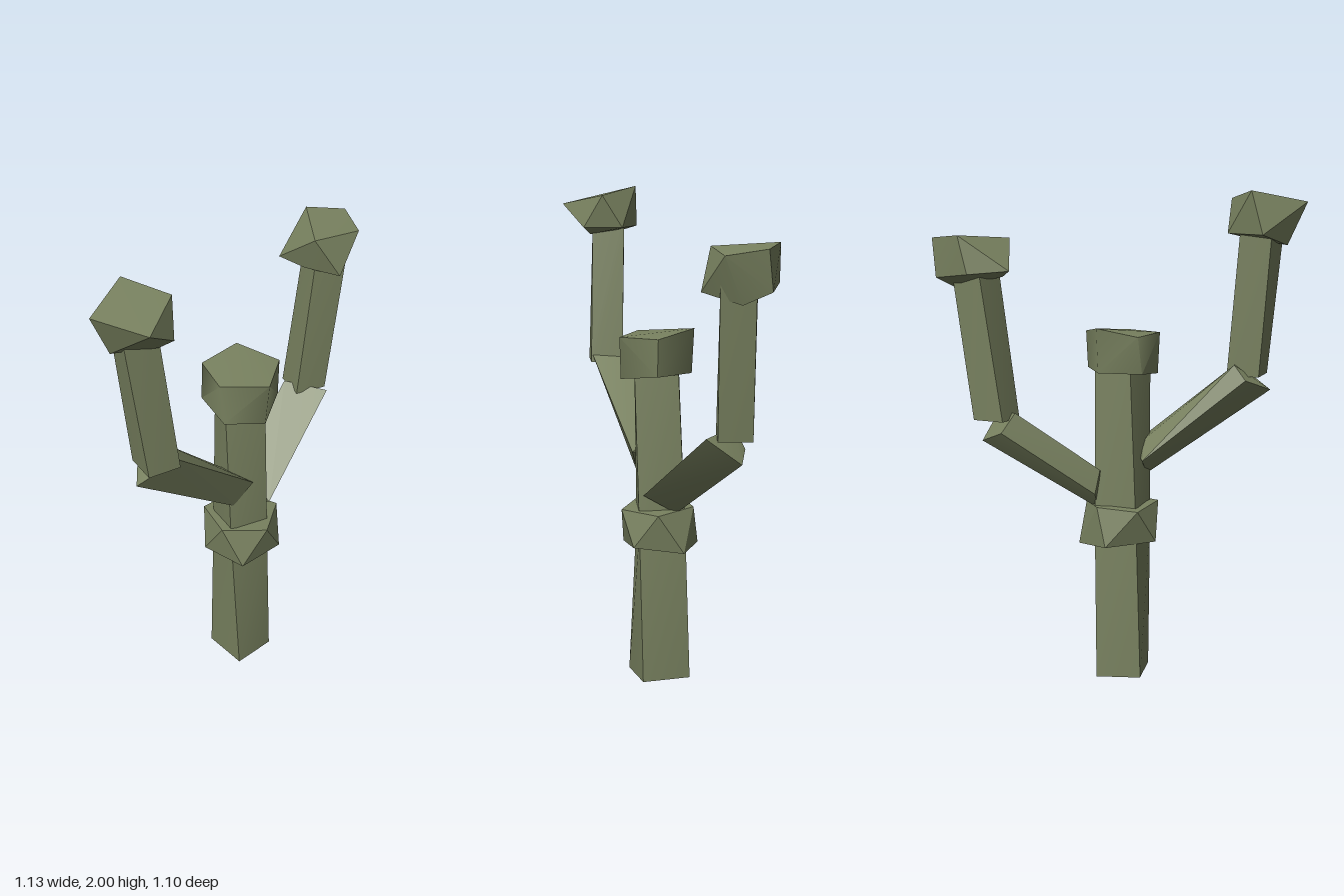
import * as THREE from 'three';
import { toCreasedNormals } from 'three/addons/utils/BufferGeometryUtils.js';
import { ConvexGeometry } from 'three/addons/geometries/ConvexGeometry.js';

const vec = (p) => new THREE.Vector3(...p);

// Four-sided cross-section, horizontal, turned by an angle
function square(center, radius, turn) {
  return [0, 1, 2, 3].map((i) => {
    const a = turn + (i * Math.PI) / 2;
    return [center[0] + radius * Math.cos(a), center[1], center[2] + radius * Math.sin(a)];
  });
}

export function createModel() {
  const group = new THREE.Group();
  const olive = new THREE.MeshStandardMaterial({ color: 0x78815f });
  olive.name = 'olive green';

  // A faceted block spanning the given corners
  function block(name, corners, crease = 0.5) {
    const mesh = new THREE.Mesh(toCreasedNormals(new ConvexGeometry(corners.map(vec)), crease), olive);
    mesh.name = name;
    group.add(mesh);
  }

  // Trunk: lower and upper lengths, slightly twisted and tapered
  const foot = [[0, 0, 0.145], [0.15, 0, 0.04], [0.045, 0, -0.13], [-0.1, 0, -0.02]];
  const waist = [[-0.03, 0.64, 0.12], [0.13, 0.64, 0.06], [0.065, 0.64, -0.115], [-0.085, 0.64, -0.03]];
  const neck = [[-0.05, 1.3, 0.095], [0.11, 1.3, 0.085], [0.085, 1.3, -0.09], [-0.07, 1.3, -0.05]];
  block('lowerTrunk', [...foot, ...waist]);
  block('upperTrunk', [...waist, ...neck]);

  // Collar round the trunk
  block('collar', [
    [-0.12, 0.72, -0.06], [0.03, 0.73, -0.14], [0.185, 0.72, -0.035], [0.115, 0.72, 0.14], [-0.07, 0.73, 0.125],
    [-0.13, 0.58, 0.04], [-0.02, 0.57, -0.145], [0.14, 0.56, -0.13], [0.18, 0.58, 0.07], [0.01, 0.56, 0.165],
  ]);

  // Trunk head
  block('trunkHead', [
    [-0.12, 1.43, -0.06], [0.03, 1.46, -0.14], [0.185, 1.43, -0.035], [0.115, 1.425, 0.145], [-0.075, 1.43, 0.125],
    [-0.125, 1.28, -0.04], [0.03, 1.28, -0.13], [0.18, 1.28, -0.03], [0.1, 1.255, 0.145], [-0.06, 1.26, 0.13],
  ], 1.3);

  // Right arm: each lower arm is a four-edged beam, outer end then inner end
  block('rightLowerArm', [
    [-0.43, 1.2, 0.4], [-0.27, 1.295, 0.385], [-0.36, 1.31, 0.25], [-0.41, 1.25, 0.26],
    [-0.02, 0.84, 0.11], [0.06, 0.95, 0.11], [-0.05, 0.99, 0.05], [-0.1, 0.92, -0.01],
  ]);
  block('rightUpperArm', [
    ...square([-0.348, 1.26, 0.35], 0.094, 0.4),
    ...square([-0.41, 1.84, 0.352], 0.094, 0.5),
  ]);
  block('rightHead', [
    [-0.44, 2, 0.24], [-0.27, 1.965, 0.335], [-0.37, 1.925, 0.545], [-0.565, 1.955, 0.44],
    [-0.49, 1.83, 0.25], [-0.31, 1.83, 0.26], [-0.275, 1.83, 0.42], [-0.5, 1.785, 0.4], [-0.33, 1.8, 0.41],
  ]);

  // Left arm
  block('leftLowerArm', [
    [0.44, 1.1, -0.29], [0.4, 1, -0.42], [0.3, 1.04, -0.41], [0.27, 1.12, -0.36],
    [0.14, 0.79, 0.04], [0.08, 0.71, -0.08], [0.05, 0.78, -0.13], [0.04, 0.88, -0.11],
  ]);
  block('leftUpperArm', [
    ...square([0.357, 1.09, -0.38], 0.094, 0.5),
    ...square([0.433, 1.68, -0.41], 0.094, 0.6),
  ]);
  block('leftHead', [
    [0.38, 1.83, -0.55], [0.54, 1.815, -0.54], [0.565, 1.79, -0.385], [0.365, 1.81, -0.285], [0.245, 1.69, -0.405],
    [0.34, 1.68, -0.54], [0.51, 1.66, -0.55], [0.51, 1.61, -0.44], [0.47, 1.65, -0.275], [0.34, 1.66, -0.35],
  ]);

  return group;
}
